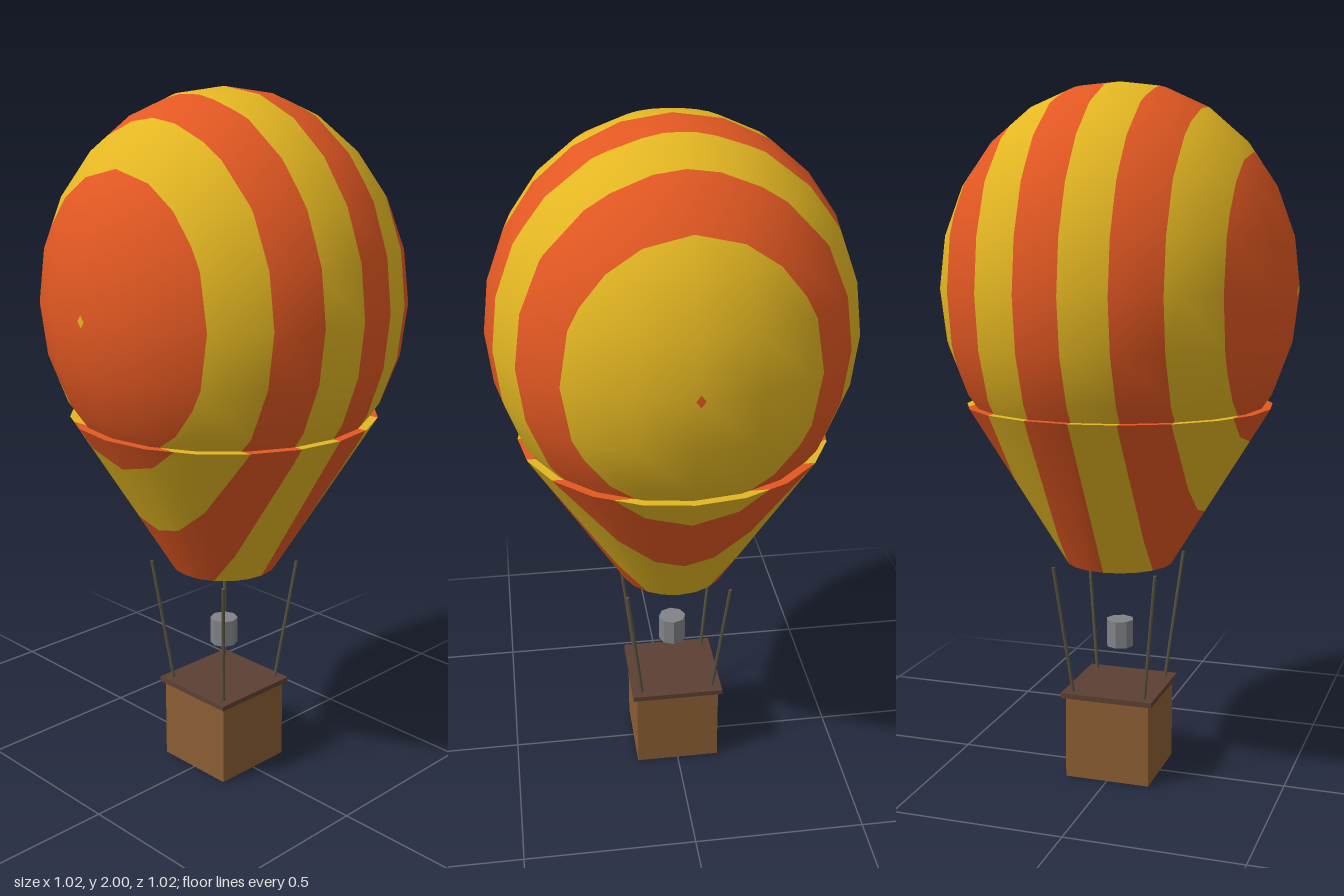
import * as THREE from 'three';

const mat = (name, color) => {
  const m = new THREE.MeshStandardMaterial({ color });
  m.name = name;
  return m;
};

const STRIPE = 0.1275; // width of one fabric stripe along x

// Keeps the part of a polygon where sign * (x - limit) >= 0; corners are {p, n}
function clip(poly, limit, sign) {
  const out = [];
  poly.forEach((a, i) => {
    const b = poly[(i + 1) % poly.length];
    const da = sign * (a.p.x - limit), db = sign * (b.p.x - limit);
    if (da >= 0) out.push(a);
    if (da * db < 0) {
      const t = da / (da - db);
      out.push({ p: a.p.clone().lerp(b.p, t), n: a.n.clone().lerp(b.n, t).normalize() });
    }
  });
  return out;
}

// Cuts a geometry into stripes across x, one mesh per colour
function stripedGroup(name, geometry, materials) {
  const geo = geometry.toNonIndexed();
  const pos = geo.attributes.position, nor = geo.attributes.normal;
  const data = materials.map(() => ({ p: [], n: [] }));
  for (let i = 0; i < pos.count; i += 3) {
    const tri = [0, 1, 2].map(k => ({
      p: new THREE.Vector3().fromBufferAttribute(pos, i + k),
      n: new THREE.Vector3().fromBufferAttribute(nor, i + k),
    }));
    for (let s = -5; s < 5; s++) {
      const poly = clip(clip(tri, s * STRIPE, 1), (s + 1) * STRIPE, -1);
      const d = data[Math.abs(s % 2)];
      for (let k = 1; k + 1 < poly.length; k++) {
        for (const c of [poly[0], poly[k], poly[k + 1]]) {
          d.p.push(c.p.x, c.p.y, c.p.z);
          d.n.push(c.n.x, c.n.y, c.n.z);
        }
      }
    }
  }
  const group = new THREE.Group();
  group.name = name;
  data.forEach((d, i) => {
    const g = new THREE.BufferGeometry();
    g.setAttribute('position', new THREE.Float32BufferAttribute(d.p, 3));
    g.setAttribute('normal', new THREE.Float32BufferAttribute(d.n, 3));
    const mesh = new THREE.Mesh(g, materials[i]);
    mesh.name = `${name} ${materials[i].name}`;
    group.add(mesh);
  });
  return group;
}

export function createModel() {
  const model = new THREE.Group();
  model.name = 'hotAirBalloon';
  const red = mat('orange red fabric', 0xe25822);
  const yellow = mat('yellow fabric', 0xe3b622);
  const wicker = mat('brown wicker', 0x8b5e34);
  const trim = mat('dark brown trim', 0x5c4033);
  const rope = mat('rope', 0x5a5340);
  const metal = mat('grey metal', 0x808388);

  const add = (name, geometry, material, y) => {
    const mesh = new THREE.Mesh(geometry, material);
    mesh.name = name;
    mesh.position.y = y;
    model.add(mesh);
    return mesh;
  };

  // Envelope: stretched sphere over a tapering skirt
  const ball = new THREE.SphereGeometry(0.512, 20, 12);
  ball.scale(1, 0.572 / 0.512, 1).translate(0, 1.428, 0);
  model.add(stripedGroup('envelope', ball, [red, yellow]));

  const skirt = new THREE.CylinderGeometry(0.44, 0.155, 0.465, 20);
  skirt.translate(0, 0.8675, 0);
  model.add(stripedGroup('skirt', skirt, [red, yellow]));

  // Burner with flat facets
  const burner = new THREE.CylinderGeometry(0.041, 0.041, 0.08, 8).toNonIndexed();
  burner.computeVertexNormals();
  add('burner', burner, metal, 0.416);

  // Basket and its lid-like rim
  add('basket', new THREE.BoxGeometry(0.252, 0.245, 0.252), wicker, 0.1225);
  add('basketRim', new THREE.BoxGeometry(0.275, 0.015, 0.275), trim, 0.25);

  // Four ropes from basket corners, leaning outward
  for (const sx of [-1, 1]) {
    for (const sz of [-1, 1]) {
      const low = new THREE.Vector3(sx * 0.108, 0.25, sz * 0.108);
      const high = new THREE.Vector3(sx * 0.152, 0.637, sz * 0.152);
      const dir = high.clone().sub(low);
      const mesh = add('rope', new THREE.CylinderGeometry(0.005, 0.005, dir.length(), 6), rope, 0);
      mesh.position.copy(low).add(high).multiplyScalar(0.5);
      mesh.quaternion.setFromUnitVectors(new THREE.Vector3(0, 1, 0), dir.normalize());
    }
  }
  return model;
}
